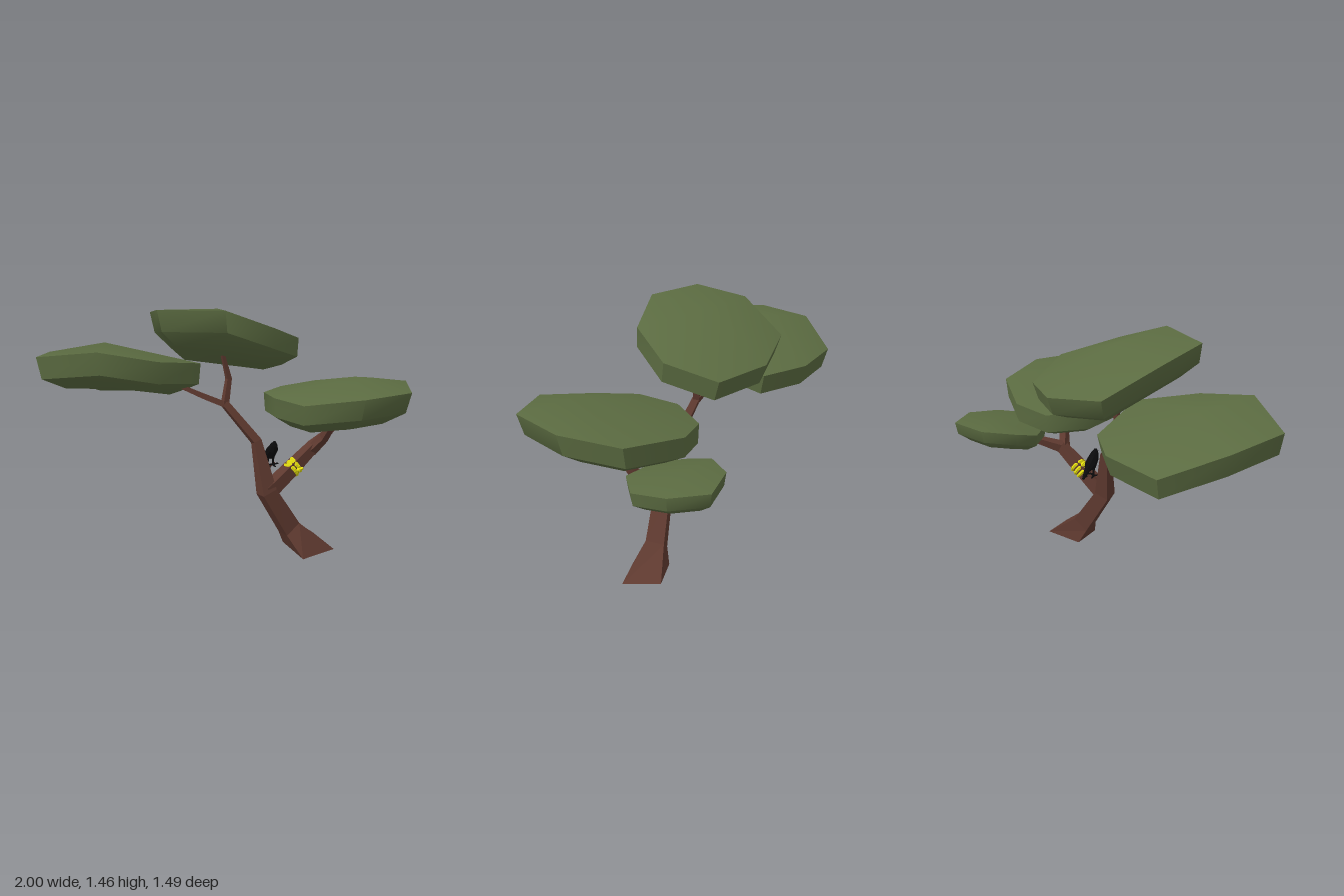
import * as THREE from 'three';
import { toCreasedNormals } from 'three/addons/utils/BufferGeometryUtils.js';

const material = (name, color, flatShading = true) => {
  const m = new THREE.MeshStandardMaterial({ color, flatShading });
  m.name = name;
  return m;
};
const V = (x, y, z) => new THREE.Vector3(x, y, z);

// Closed solid through rings of points, first ring on top, clockwise from above
function loft(rings, topCentre, bottomCentre) {
  const pos = [];
  const tri = (...pts) => pts.forEach((p) => pos.push(p.x, p.y, p.z));
  const n = rings[0].length;
  const last = rings[rings.length - 1];
  for (let i = 0; i < n; i++) {
    const j = (i + 1) % n;
    tri(topCentre, rings[0][j], rings[0][i]);
    tri(bottomCentre, last[i], last[j]);
    for (let k = 0; k < rings.length - 1; k++) {
      const a = rings[k], b = rings[k + 1];
      tri(a[i], a[j], b[j]);
      tri(a[i], b[j], b[i]);
    }
  }
  const g = new THREE.BufferGeometry();
  g.setAttribute('position', new THREE.Float32BufferAttribute(pos, 3));
  g.computeVertexNormals();
  return g;
}

// Faceted limb along [x, y, z, radius] points
function limb(path, sides = 4, startDir = null) {
  const pts = path.map((p) => V(p[0], p[1], p[2]));
  const rings = pts.map((p, i) => {
    const t = i === 0 && startDir ? startDir.clone() : V(0, 0, 0);
    if (t.lengthSq() === 0) {
      if (i > 0) t.add(p.clone().sub(pts[i - 1]).normalize());
      if (i < pts.length - 1) t.add(pts[i + 1].clone().sub(p).normalize());
    }
    t.normalize();
    const v = V(0, 0, 1).addScaledVector(t, -t.z).normalize();
    const u = t.clone().cross(v);
    return Array.from({ length: sides }, (_, k) => {
      const a = ((k + 0.5) / sides) * Math.PI * 2;
      return p.clone().addScaledVector(u, Math.cos(a) * path[i][3]).addScaledVector(v, Math.sin(a) * path[i][3]);
    });
  }).reverse();
  return loft(rings, pts[pts.length - 1], pts[0]);
}

// Foliage pad: rim points [x, y, z], peak of the top, rim height, full depth,
// size of the underside and sideways lean of the lower rim along z
function canopy({ outline, peak, rim, depth, base, lean }) {
  const top = outline.map((p) => V(...p));
  const centre = top.reduce((s, p) => s.add(p), V(0, 0, 0)).divideScalar(top.length);
  const lower = (scale, drop) => top.map((p) => p.clone().lerp(centre, 1 - scale).add(V(0, -drop, lean)));
  const solid = loft([top, lower(0.96, rim), lower(base, depth)], V(...peak), centre.clone().add(V(0, -depth, lean)));
  return toCreasedNormals(solid, 0.8);
}

export function createModel() {
  const tree = new THREE.Group();
  tree.name = 'tree';
  const bark = material('bark brown', 0x5e392f);
  const leaf = material('leaf green', 0x5b6b41, false);
  const black = material('feather black', 0x0b0b0c);
  const yellow = material('rope yellow', 0xe2dc0e);
  const add = (parent, name, geometry, mat) => {
    const mesh = new THREE.Mesh(geometry, mat);
    mesh.name = name;
    parent.add(mesh);
    return mesh;
  };

  // Trunk and branches
  const wood = {
    trunk: [[0.44, 0.026, 0.16, 0.155], [0.322, 0.155, 0.125, 0.075], [0.17, 0.4, 0.115, 0.064],
      [0.13, 0.695, 0.06, 0.034], [-0.02, 0.91, -0.04, 0.028]],
    leftBranch: [[-0.01, 0.9, -0.035, 0.024], [-0.13, 0.955, -0.09, 0.022], [-0.3, 1.04, -0.16, 0.014]],
    upperBranch: [[-0.02, 0.9, -0.04, 0.025], [0.01, 1.05, -0.05, 0.02], [-0.03, 1.2, -0.05, 0.013]],
    upperTwig: [[0.005, 1.05, -0.05, 0.014], [0.035, 1.065, -0.1, 0.012], [0.06, 1.1, -0.19, 0.006]],
    rightBranch: [[0.18, 0.4, 0.115, 0.056], [0.33, 0.52, 0.125, 0.05], [0.48, 0.64, 0.13, 0.04],
      [0.73, 0.72, 0.02, 0.014]],
    frontBranch: [[0.46, 0.61, 0.13, 0.036], [0.5, 0.7, 0.2, 0.03], [0.51, 0.86, 0.31, 0.018]],
    perchTwig: [[0.14, 0.5, 0.09, 0.014], [0.21, 0.525, 0.06, 0.01], [0.27, 0.54, 0.035, 0.005]],
  };
  for (const [name, path] of Object.entries(wood)) {
    add(tree, name, limb(path, 4, name === 'trunk' ? V(-0.09, 1, 0.13) : null), bark);
  }

  // Foliage pads
  const foliage = {
    leftCanopy: {
      outline: [[-1, 1.21, -0.31], [-0.85, 1.19, -0.6], [-0.57, 1.07, -0.75], [-0.25, 1.065, -0.63],
        [-0.08, 1.05, -0.41], [-0.14, 1.14, -0.1], [-0.45, 1.19, 0.03], [-0.76, 1.255, -0.03]],
      peak: [-0.6, 1.255, -0.37], rim: 0.115, depth: 0.16, base: 0.7, lean: 0.015,
    },
    topCanopy: {
      outline: [[-0.45, 1.46, 0.03], [-0.37, 1.42, -0.26], [-0.15, 1.27, -0.49], [0.19, 1.21, -0.44],
        [0.42, 1.185, -0.23], [0.41, 1.265, 0.05], [0.13, 1.355, 0.25], [-0.16, 1.46, 0.235]],
      peak: [-0.02, 1.435, -0.12], rim: 0.107, depth: 0.165, base: 0.75, lean: 0.02,
    },
    frontCanopy: {
      outline: [[0.16, 0.98, 0.49], [0.13, 0.98, 0.25], [0.2, 0.965, 0.02], [0.41, 0.955, -0.13],
        [0.63, 0.975, -0.1], [0.875, 1.01, 0.14], [0.86, 1.045, 0.46], [0.66, 1.045, 0.735], [0.37, 1.035, 0.725]],
      peak: [0.5, 1.1, 0.46], rim: 0.11, depth: 0.175, base: 0.69, lean: -0.012,
    },
    rightCanopy: {
      outline: [[0.5, 0.8, -0.1], [0.56, 0.84, -0.22], [0.73, 0.86, -0.315], [0.95, 0.86, -0.28],
        [1, 0.845, -0.085], [0.92, 0.81, 0.1], [0.74, 0.8, 0.17], [0.55, 0.79, 0.07]],
      peak: [0.76, 0.875, -0.14], rim: 0.07, depth: 0.115, base: 0.7, lean: 0,
    },
  };
  for (const [name, spec] of Object.entries(foliage)) add(tree, name, canopy(spec), leaf);

  // Rope wound round the right branch, with a knot
  const rope = new THREE.Group();
  rope.name = 'rope';
  rope.position.set(0.345, 0.524, 0.125);
  rope.quaternion.setFromUnitVectors(V(0, 0, 1), V(0.78, 0.62, 0.03).normalize());
  for (let i = 0; i < 4; i++) {
    const loop = add(rope, 'ropeLoop', new THREE.TorusGeometry(0.043, 0.011, 5, 10), yellow);
    loop.position.z = (i - 1.5) * 0.015;
    loop.rotation.set(i % 2 ? 0.15 : -0.12, i % 2 ? -0.1 : 0.12, i);
  }
  tree.add(rope);
  add(tree, 'ropeKnot', new THREE.IcosahedronGeometry(0.015, 0), yellow).position.set(0.35, 0.52, 0.172);
  add(tree, 'ropeEnd', limb([[0.35, 0.52, 0.172, 0.009], [0.375, 0.53, 0.18, 0.009]], 5), yellow);

  // Perched bird
  const bird = new THREE.Group();
  bird.name = 'bird';
  add(bird, 'birdBody', limb([[0.23, 0.55, -0.04, 0.007], [0.23, 0.585, 0.005, 0.016], [0.23, 0.605, 0.05, 0.035],
    [0.227, 0.64, 0.085, 0.031], [0.225, 0.67, 0.1, 0.02], [0.225, 0.69, 0.108, 0.007]], 8), black);
  add(bird, 'birdBeak', limb([[0.225, 0.672, 0.1, 0.011], [0.222, 0.668, 0.132, 0.002]], 4, V(0, 0.2, 1)), black);
  for (const s of [-1, 1]) {
    const x = 0.23 + s * 0.018;
    add(bird, 'birdLeg', limb([[x, 0.532, 0.052, 0.005], [x, 0.595, 0.055, 0.009]], 4), black);
    for (const [dx, dy, dz] of [[-0.03, 0.008, 0.014], [0.003, -0.008, 0.025], [0.03, 0.006, 0.012], [0.004, -0.01, -0.02]]) {
      add(bird, 'birdToe', limb([[x, 0.536, 0.052, 0.007], [x + dx, 0.536 + dy, 0.052 + dz, 0.004]], 4), black);
    }
  }
  tree.add(bird);
  return tree;
}
